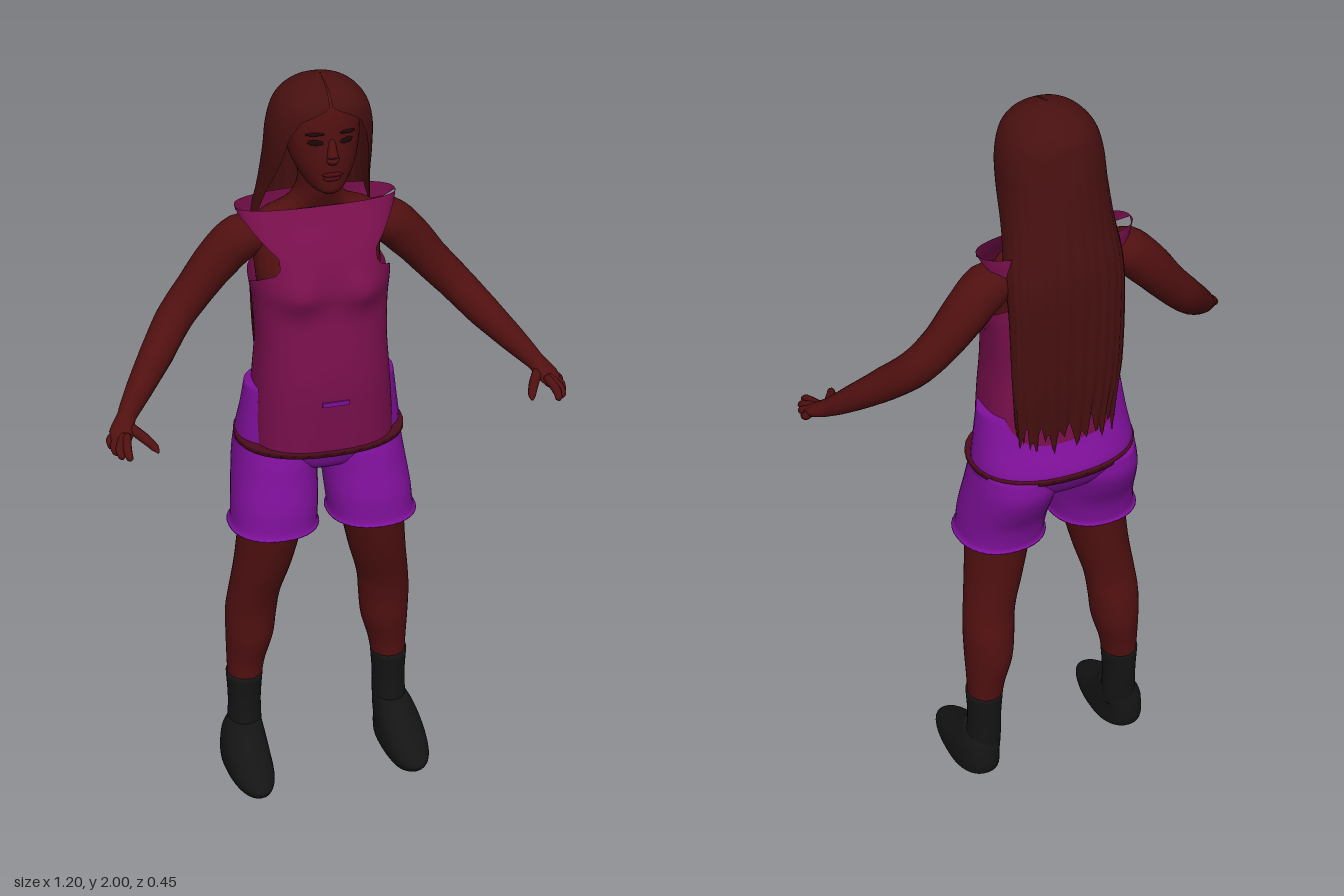
import * as THREE from 'three';

const paint = (name, color, side = THREE.FrontSide) => {
  const m = new THREE.MeshStandardMaterial({ color, side });
  m.name = name;
  return m;
};

// Piecewise linear lookup in [[key, value], ...] with rising keys
function lookup(table, k) {
  if (k <= table[0][0]) return table[0][1];
  for (let i = 1; i < table.length; i++) {
    const [a, va] = table[i - 1], [b, vb] = table[i];
    if (k <= b) return va + (vb - va) * (k - a) / (b - a);
  }
  return table[table.length - 1][1];
}

// Surface from a grid of points; optional wrap and end caps
function gridSurface(grid, wrap, caps) {
  const pos = [], idx = [], n = grid[0].length, rows = grid.length;
  grid.forEach(r => r.forEach(p => pos.push(p.x, p.y, p.z)));
  const cols = wrap ? n : n - 1;
  for (let i = 0; i < rows - 1; i++) for (let j = 0; j < cols; j++) {
    const k = (j + 1) % n, a = i * n + j, b = i * n + k, c = b + n, d = a + n;
    idx.push(a, b, c, a, c, d);
  }
  if (caps) for (const i of [0, rows - 1]) {
    const centre = grid[i].reduce((s, p) => s.add(p), new THREE.Vector3()).divideScalar(n);
    const m = pos.length / 3;
    pos.push(centre.x, centre.y, centre.z);
    for (let j = 0; j < n; j++) {
      const a = i * n + j, b = i * n + (j + 1) % n;
      if (i === 0) idx.push(m, b, a); else idx.push(m, a, b);
    }
  }
  const g = new THREE.BufferGeometry();
  g.setAttribute('position', new THREE.Float32BufferAttribute(pos, 3));
  g.setIndex(idx);
  g.computeVertexNormals();
  return g;
}

// Horizontal sections, rising: [y, centreX, halfWidth, centreZ, frontDepth, backDepth]
// range(y) gives start and end angle (0 = front, +x at a quarter turn) for open shells
function loft(rows, { power = 1, range = null, warp = null, mirror = 1, n = 36, steps = 6 } = {}) {
  const V = (a, b, c) => new THREE.Vector3(a, b, c);
  const c1 = new THREE.CatmullRomCurve3(rows.map(r => V(r[0], r[1], r[2])), false, 'catmullrom');
  const c2 = new THREE.CatmullRomCurve3(rows.map(r => V(r[3], r[4], r[5])), false, 'catmullrom');
  const bend = v => Math.sign(v) * Math.pow(Math.abs(v), power);
  const total = (rows.length - 1) * steps, grid = [];
  for (let i = 0; i <= total; i++) {
    const { x: y, y: cx, z: rx } = c1.getPoint(i / total);
    const { x: cz, y: front, z: back } = c2.getPoint(i / total);
    const [a0, a1] = range ? range(y) : [0, Math.PI * 2];
    const ring = [];
    for (let j = 0; j < (range ? n + 1 : n); j++) {
      const a = a0 + (a1 - a0) * j / n, c = bend(Math.cos(a));
      const p = V(mirror * cx + rx * bend(Math.sin(a)), y, cz + c * (c > 0 ? front : back));
      if (warp) warp(p, a);
      ring.push(p);
    }
    grid.push(ring);
  }
  return gridSurface(grid, !range, !range);
}

// Limb along a path: [x, y, z, radius, optional second radius]
function limb(points, mirror = 1, n = 16, steps = 5) {
  const curve = new THREE.CatmullRomCurve3(points.map(p => new THREE.Vector3(p[0] * mirror, p[1], p[2])));
  const total = (points.length - 1) * steps, grid = [], up = new THREE.Vector3(0, 1, 0);
  for (let i = 0; i <= total; i++) {
    const t = i / total, c = curve.getPoint(t), T = curve.getTangent(t);
    const N = up.clone().cross(T).normalize(), B = T.clone().cross(N);
    const k = t * (points.length - 1);
    const ra = lookup(points.map((p, q) => [q, p[3]]), k);
    const rb = lookup(points.map((p, q) => [q, p[4] ?? p[3]]), k);
    const ring = [];
    for (let j = 0; j < n; j++) {
      const a = j / n * Math.PI * 2;
      ring.push(c.clone().addScaledVector(N, Math.cos(a) * ra).addScaledVector(B, Math.sin(a) * rb));
    }
    grid.push(ring);
  }
  return gridSurface(grid, true, true);
}

export function createModel() {
  const model = new THREE.Group();
  model.name = 'woman';
  const skin = paint('skin', 0x501010), hairMat = paint('hair', 0x481010, THREE.DoubleSide);
  const shirtMat = paint('shirt', 0x780f4c, THREE.DoubleSide), shortsMat = paint('shorts', 0x7f109a);
  const trim = paint('trim', 0x4c0c1c), black = paint('black', 0x141414), eyeMat = paint('eyes', 0x1c0606);
  const lipMat = paint('lips', 0x4a0a10);
  const add = (name, geo, mat, parent = model) => {
    const m = new THREE.Mesh(geo, mat);
    m.name = name;
    parent.add(m);
    return m;
  };
  const ball = (name, mat, x, y, z, sx, sy, sz) => {
    const m = add(name, new THREE.SphereGeometry(1, 20, 14), mat);
    m.position.set(x, y, z);
    m.scale.set(sx, sy, sz);
    return m;
  };

  // Torso and neck
  add('torso', loft([
    [1.15, 0, .15, -.04, .1, .1], [1.3, 0, .15, -.04, .1, .1], [1.45, 0, .16, -.06, .115, .08],
    [1.52, 0, .165, -.075, .095, .07], [1.59, 0, .172, -.085, .065, .06], [1.635, 0, .145, -.08, .045, .055],
    [1.66, 0, .085, -.075, .05, .055], [1.7, 0, .055, -.065, .055, .055], [1.77, 0, .052, -.05, .055, .055],
  ]), skin);

  // Head and face
  add('head', loft([
    [1.722, 0, .02, .025, .03, .04], [1.735, 0, .042, .015, .053, .06], [1.77, 0, .066, 0, .07, .08],
    [1.81, 0, .084, -.02, .09, .1], [1.86, 0, .093, -.03, .095, .11], [1.91, 0, .093, -.04, .1, .11],
    [1.95, 0, .078, -.04, .085, .095], [1.975, 0, .045, -.04, .05, .06],
  ]), skin);
  add('nose', limb([[0, 1.868, .055, .009], [0, 1.84, .066, .012], [0, 1.82, .072, .016, .013],
    [0, 1.808, .066, .012, .008]], 1, 12), skin);
  ball('upperLip', lipMat, 0, 1.779, .068, .026, .006, .009);
  ball('lowerLip', lipMat, 0, 1.768, .066, .022, .007, .009);
  for (const s of [-1, 1]) {
    const eye = ball('eye', eyeMat, s * .038, 1.86, .054, .02, .008, .005);
    eye.rotation.y = s * .4;
    const brow = ball('eyebrow', eyeMat, s * .041, 1.882, .055, .024, .004, .005);
    brow.rotation.set(0, s * .42, s * -.08);
  }

  // Long hair, open around the face, with a ragged lower edge
  const parting = [[1.13, 1.35], [1.5, 1.35], [1.6, 1.3], [1.7, 1.15], [1.78, .95], [1.86, .8], [1.91, .6], [1.945, .02]];
  add('hair', loft([
    [1.13, 0, .135, -.15, .03, .042], [1.3, 0, .15, -.155, .03, .055], [1.5, 0, .155, -.15, .04, .066],
    [1.6, 0, .155, -.13, .06, .084], [1.7, 0, .142, -.1, .09, .1], [1.8, 0, .135, -.065, .11, .12],
    [1.88, 0, .13, -.05, .11, .12], [1.94, 0, .11, -.045, .105, .108], [1.98, 0, .067, -.04, .065, .07],
    [2.0, 0, .002, -.04, .002, .002],
  ], {
    power: .9, n: 72,
    range: y => { const g = lookup(parting, y); return [g, Math.PI * 2 - g]; },
    warp: (p, a) => {
      p.z += .002 * Math.sin(a * 29) * THREE.MathUtils.clamp((1.9 - p.y) * 4, 0, 1);
      if (p.y < 1.3) p.y += (1.3 - p.y) * .14 * (Math.sin(a * 13) + Math.sin(a * 31));
    },
  }), hairMat);

  // Sleeveless shirt in two panels with cut armholes
  const armhole = [[1.465, 0], [1.515, .9], [1.55, .92], [1.62, .4], [1.65, 0]];
  const shirtRows = [
    [1.02, 0, .185, -.04, .137, .14], [1.1, 0, .182, -.04, .139, .145], [1.2, 0, .175, -.04, .14, .135],
    [1.3, 0, .168, -.04, .13, .125], [1.4, 0, .172, -.05, .125, .115], [1.47, 0, .18, -.06, .135, .1],
    [1.55, 0, .187, -.07, .118, .088], [1.62, 0, .2, -.08, .078, .078], [1.655, 0, .207, -.085, .06, .07],
  ];
  for (const [name, turn] of [['shirtFront', 0], ['shirtBack', Math.PI]]) {
    add(name, loft(shirtRows, {
      power: .8,
      range: y => { const w = Math.PI / 2 - lookup(armhole, y); return [turn - w, turn + w]; },
      warp: p => {
        if (turn) return;
        const dx = (Math.abs(p.x) - .085) / .05, dy = (p.y - 1.455) / .05;
        p.z += .022 * Math.exp(-dx * dx - dy * dy);
      },
    }), shirtMat);
  }
  const dash = add('waistTab', new THREE.BoxGeometry(.07, .012, .008), shortsMat);
  dash.position.set(0, 1.165, .1);

  // Shorts: hips, hem line and two legs
  add('shortsHips', loft([
    [.925, 0, .06, -.06, .06, .08], [.95, 0, .16, -.065, .1, .115], [.99, 0, .215, -.07, .122, .14],
    [1.03, 0, .217, -.07, .13, .15], [1.1, 0, .207, -.06, .11, .128], [1.18, 0, .196, -.055, .1, .1],
  ], { power: .9 }), shortsMat);
  add('hemLine', loft([[1.013, 0, .222, -.06, .162, .165], [1.028, 0, .222, -.06, .162, .165]],
    { power: .87, steps: 1 }), trim);

  for (const s of [-1, 1]) {
    const side = s > 0 ? 'left' : 'right';
    const o = { mirror: s };
    add(side + 'ShortsLeg', loft([
      [.775, .133, .12, -.03, .122, .122], [.79, .131, .113, -.03, .115, .117], [.85, .126, .113, -.04, .12, .12],
      [.92, .12, .11, -.06, .125, .135], [.97, .115, .108, -.07, .125, .143], [1.02, .11, .105, -.07, .11, .14],
    ], { ...o, power: .9 }), shortsMat);
    add(side + 'Leg', loft([
      [.25, .205, .045, -.08, .05, .05], [.32, .2, .052, -.08, .052, .058], [.4, .19, .064, -.075, .062, .075],
      [.48, .186, .069, -.07, .062, .074], [.55, .178, .07, -.06, .066, .07], [.65, .157, .077, -.045, .08, .082],
      [.77, .138, .085, -.035, .095, .095], [.85, .13, .09, -.035, .1, .1],
    ], o), skin);
    add(side + 'Sock', loft([
      [.09, .21, .048, -.075, .055, .05], [.14, .207, .046, -.078, .052, .05],
      [.2, .206, .045, -.08, .05, .05], [.28, .205, .05, -.08, .054, .054],
    ], o), black);
    add(side + 'Shoe', loft([
      [0, .215, .045, .03, .1, .1], [.012, .219, .06, -.02, .168, .1], [.035, .22, .064, -.02, .175, .115],
      [.065, .22, .062, -.03, .135, .105], [.1, .216, .056, -.06, .095, .07], [.135, .21, .044, -.07, .062, .05],
    ], { ...o, power: .9 }), black);

    // Arm with palm, fingers and thumb
    const arm = new THREE.Group();
    arm.name = side + 'Arm';
    model.add(arm);
    add('armAndPalm', limb([
      [.12, 1.575, -.09, .045], [.19, 1.565, -.095, .06], [.25, 1.51, -.1, .057], [.31, 1.44, -.095, .05],
      [.37, 1.375, -.075, .047], [.43, 1.31, -.02, .043], [.49, 1.25, .04, .034], [.535, 1.205, .09, .024],
      [.555, 1.183, .125, .032, .018], [.564, 1.168, .158, .022, .011],
    ], s, 20), skin, arm);
    const tips = [[.585, 1.152, .152], [.581, 1.15, .18], [.572, 1.15, .203], [.556, 1.152, .22]];
    tips.forEach(([x, y, z], i) => add('finger', limb([
      [.566 - i * .006, 1.182, .125 + i * .007, .011], [x + .001, y + .016, z - .022, .011],
      [x, y + .004, z - .004, .009], [x, y, z, .003],
    ], s, 10), skin, arm));
    add('thumb', limb([[.538, 1.19, .11, .014], [.508, 1.178, .16, .013], [.489, 1.168, .2, .01],
      [.485, 1.163, .216, .003]], s, 10), skin, arm);
  }
  return model;
}
